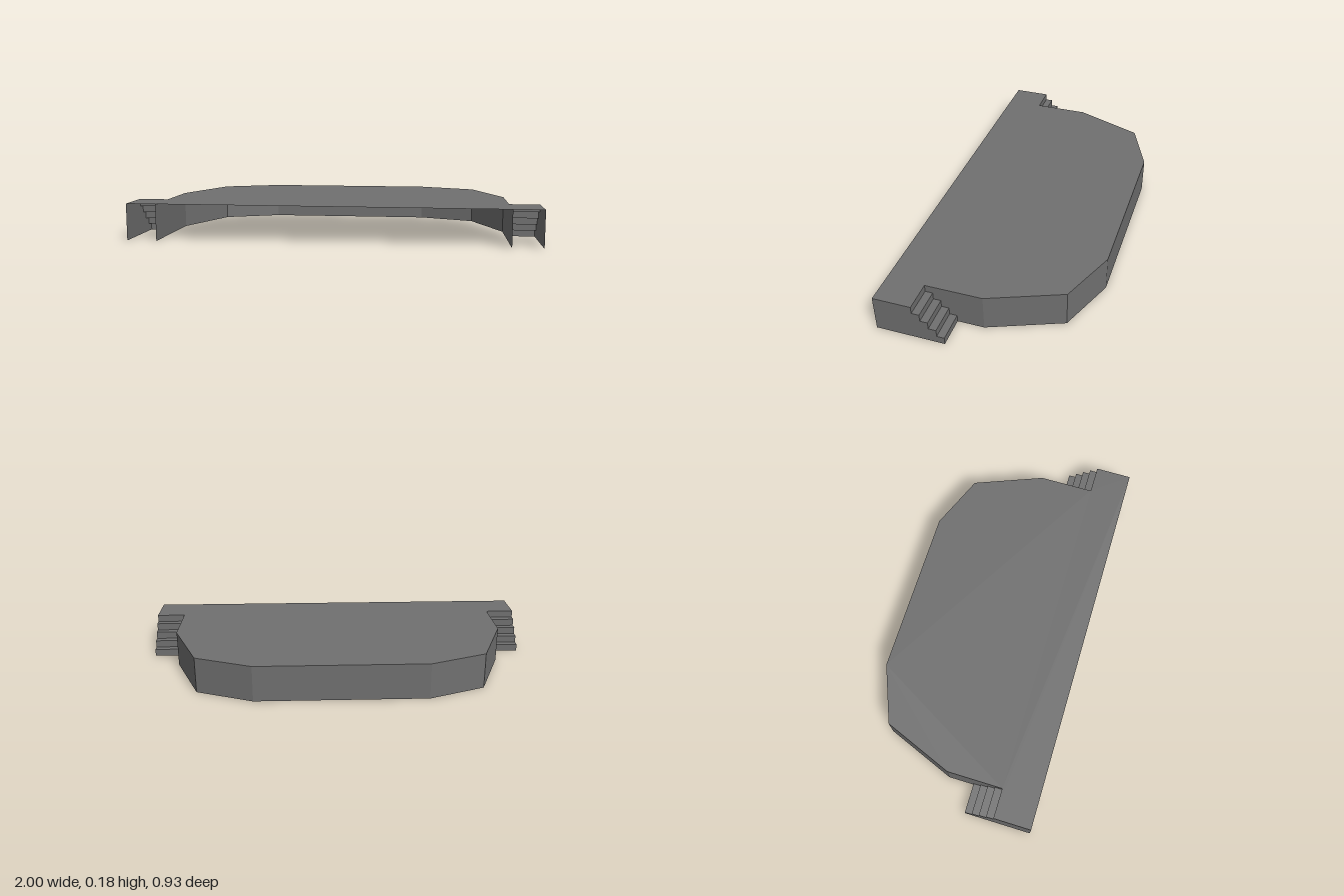
import * as THREE from 'three';

const H = 0.182;         // deck height
const FRONT = 0.467;     // front edge z
const WALL = 0.853;      // deck side wall x
const STAIR_BACK = 0.131, STAIR_FRONT = 0.28, RISERS = 5;

// Sweeps a polyline of [x, y, z] points along an offset into flat quads.
function ribbon(path, [dx, dy, dz]) {
  const pos = [];
  for (let i = 0; i < path.length - 1; i++) {
    const a = path[i], b = path[i + 1];
    const c = [b[0] + dx, b[1] + dy, b[2] + dz];
    const d = [a[0] + dx, a[1] + dy, a[2] + dz];
    pos.push(...a, ...b, ...c, ...a, ...c, ...d);
  }
  const geo = new THREE.BufferGeometry();
  geo.setAttribute('position', new THREE.Float32BufferAttribute(pos, 3));
  geo.computeVertexNormals();
  return geo;
}

export function createModel() {
  const model = new THREE.Group();
  model.name = 'stage';
  const grey = new THREE.MeshStandardMaterial({ color: 0x707070, side: THREE.DoubleSide });
  grey.name = 'stage grey';

  const add = (name, geo, parent = model) => {
    const mesh = new THREE.Mesh(geo, grey);
    mesh.name = name;
    parent.add(mesh);
    return mesh;
  };

  // Right half of the outline, front to back, mirrored for the left
  const half = [[WALL, FRONT], [WALL, 0], [0.713, -0.352], [0.428, -0.467]];
  const outline = [...half, ...half.map(([x, z]) => [-x, z]).reverse()];

  // Deck with a landing at each front corner
  const landing = [[1, FRONT], [1, STAIR_FRONT], [WALL, STAIR_FRONT]];
  const deckHalf = [...landing, ...half.slice(1)];
  const deckOutline = [...deckHalf, ...deckHalf.map(([x, z]) => [-x, z]).reverse()];
  const deckShape = new THREE.Shape(deckOutline.map(([x, z]) => new THREE.Vector2(x, -z)));
  add('deck', new THREE.ShapeGeometry(deckShape).rotateX(-Math.PI / 2).translate(0, H, 0));

  // Skirt around the sides and back; the front and underside stay open
  add('skirtWall', ribbon(outline.map(([x, z]) => [x, 0, z]), [0, H, 0]));

  // Stepped profile as [z, y], from the ground up to the landing
  const rise = H / RISERS, run = (STAIR_FRONT - STAIR_BACK) / (RISERS - 1);
  const steps = [];
  for (let i = 0; i < RISERS; i++) {
    const z = STAIR_BACK + i * run;
    steps.push([z, i * rise], [z, (i + 1) * rise]);
  }

  // Stairs at both sides, climbing toward the front
  for (const side of [1, -1]) {
    const stair = new THREE.Group();
    stair.name = side > 0 ? 'leftStair' : 'rightStair';
    model.add(stair);

    const startX = side > 0 ? WALL : -1;
    add('steps', ribbon(steps.map(([z, y]) => [startX, y, z]), [1 - WALL, 0, 0]), stair);

    // Outer side panel
    const panel = new THREE.Shape(
      [...steps, [FRONT, H], [FRONT, 0]].map(([z, y]) => new THREE.Vector2(-side * z, y)));
    add('sidePanel', new THREE.ShapeGeometry(panel).rotateY(side * Math.PI / 2)
      .translate(side, 0, 0), stair);
  }
  return model;
}
